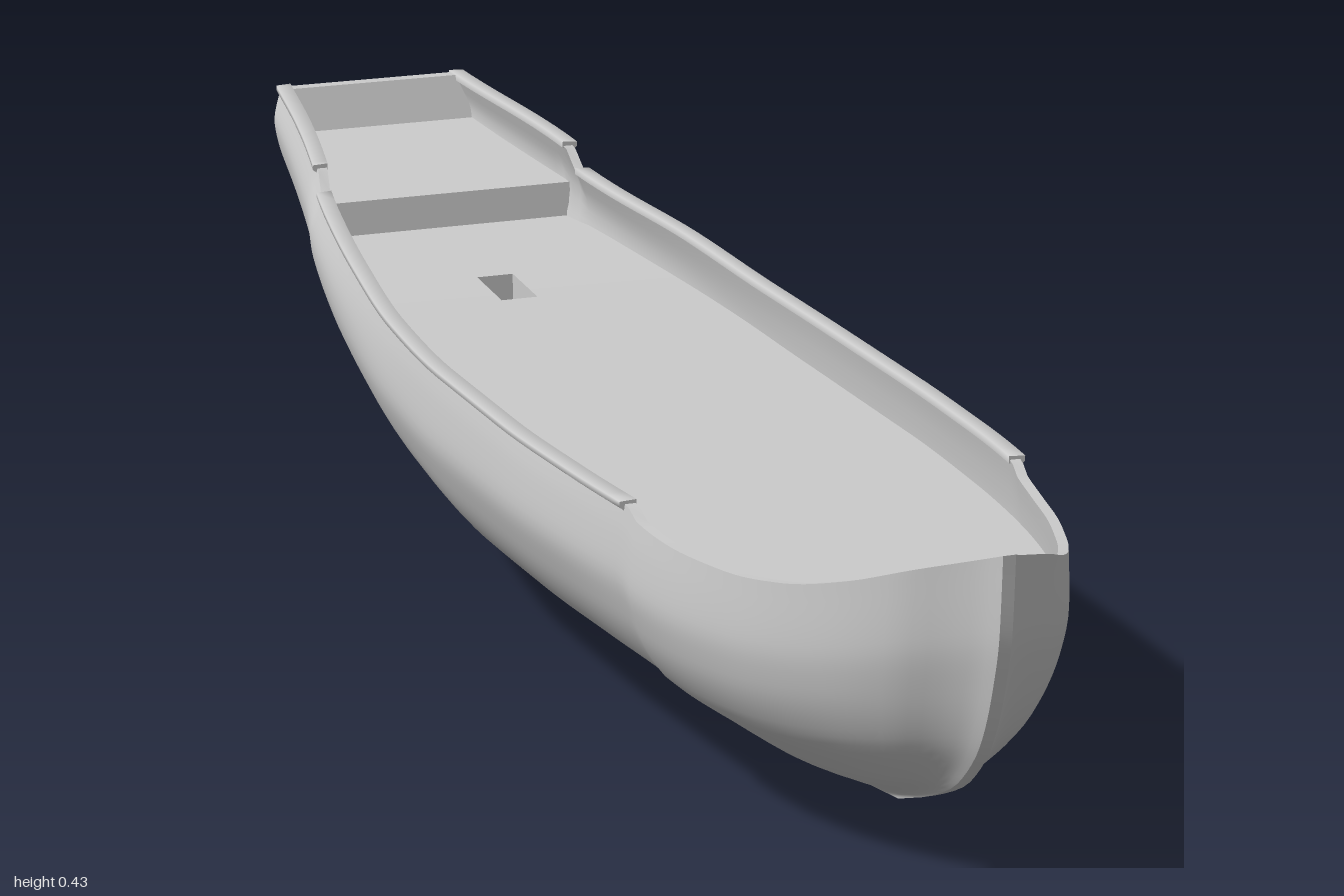
import * as THREE from 'three';

const material = new THREE.MeshStandardMaterial({ color: 0xcccccc, side: THREE.DoubleSide });
const clamp = THREE.MathUtils.clamp;
const smooth = THREE.MathUtils.smoothstep;
const lerp = THREE.MathUtils.lerp;

// Monotone curve through [position, value] pairs, positions ascending
function curve(pts) {
  const n = pts.length;
  const d = pts.slice(1).map((p, i) => (p[1] - pts[i][1]) / (p[0] - pts[i][0]));
  const m = pts.map((_, i) => {
    if (i === 0) return d[0];
    if (i === n - 1) return d[n - 2];
    return d[i - 1] * d[i] <= 0 ? 0 : (2 * d[i - 1] * d[i]) / (d[i - 1] + d[i]);
  });
  return (x) => {
    let i = 0;
    while (i < n - 2 && x > pts[i + 1][0]) i++;
    const h = pts[i + 1][0] - pts[i][0];
    const t = clamp((x - pts[i][0]) / h, 0, 1), t2 = t * t, t3 = t2 * t;
    return (2 * t3 - 3 * t2 + 1) * pts[i][1] + (t3 - 2 * t2 + t) * h * m[i]
      + (3 * t2 - 2 * t3) * pts[i + 1][1] + (t3 - t2) * h * m[i + 1];
  };
}

// Hull lines by station s (-1 stern, 1 bow) and girth v (0 keel, 1 sheer)
const keelY = curve([[-1, 0.21], [-0.75, 0.135], [-0.5, 0.07], [-0.25, 0.018], [0, 0], [0.25, 0.006],
  [0.5, 0.016], [0.7, 0.026], [0.85, 0.037], [1, 0.05]]);
const sheerY = curve([[-1, 0.431], [-0.7, 0.4], [-0.672, 0.373], [-0.4, 0.35], [-0.2, 0.334], [0, 0.329],
  [0.2, 0.329], [0.53, 0.332], [0.56, 0.318], [0.65, 0.311], [0.72, 0.311], [0.8, 0.319], [0.87, 0.338], [0.94, 0.367], [1, 0.391]]);
const beam = curve([[-1, 0.135], [-0.9, 0.15], [-0.8, 0.167], [-0.7, 0.185], [-0.6, 0.202], [-0.4, 0.23],
  [-0.2, 0.247], [0, 0.254], [0.2, 0.254], [0.4, 0.246], [0.55, 0.232], [0.65, 0.215], [0.75, 0.184],
  [0.85, 0.135], [0.92, 0.085], [0.957, 0.042], [0.98, 0.02], [1, 0.007]]);
const stemZ = curve([[0, 0.75], [0.09, 0.83], [0.2, 0.9], [0.38, 0.955], [0.56, 0.98], [0.75, 0.995], [1, 1]]);
const midShape = curve([[0, 0], [0.1, 0.19], [0.2, 0.37], [0.3, 0.55], [0.4, 0.77], [0.6, 0.94], [0.76, 1], [0.9, 0.985], [1, 0.96]]);
const sternShape = curve([[0, 0], [0.1, 0.06], [0.2, 0.17], [0.35, 0.5], [0.5, 0.82], [0.65, 0.97], [0.8, 1], [1, 0.89]]);
const bowShape = curve([[0, 0], [0.1, 0.3], [0.2, 0.52], [0.4, 0.84], [0.6, 0.97], [0.76, 1], [1, 0.98]]);
const KEEL = 0.007, WALL = 0.012;

function hullPoint(s, v) {
  let f = lerp(midShape(v), sternShape(v), smooth(-s, 0, 1));
  f = lerp(f, bowShape(v), smooth(s, 0.3, 0.9));
  const rake = 0.08 * (1 - v) * clamp((-s - 0.5) / 0.5, 0, 1);
  const forefoot = (1 - stemZ(v)) * clamp((s - 0.3) / 0.7, 0, 1);
  return [KEEL + (beam(s) - KEEL) * f, lerp(keelY(s), sheerY(s), v), s + rake - forefoot];
}
const girthAt = (s, y) => (y - keelY(s)) / (sheerY(s) - keelY(s));
const inset = ([x, y, z]) => [Math.max(x - WALL, 0.001), y, z];

// Surface through rows of points; faces look along column x row direction
function loft(rows) {
  const pos = rows.flat(2), idx = [], n = rows[0].length;
  for (let i = 0; i < rows.length - 1; i++) {
    for (let j = 0; j < n - 1; j++) {
      const a = i * n + j, b = a + n;
      idx.push(a, a + 1, b, a + 1, b + 1, b);
    }
  }
  const g = new THREE.BufferGeometry();
  g.setAttribute('position', new THREE.Float32BufferAttribute(pos, 3));
  g.setIndex(idx);
  g.computeVertexNormals();
  return g;
}
const range = (a, b, n) => Array.from({ length: n + 1 }, (_, i) => lerp(a, b, i / n));
const mirror = (rows) => rows.map((r) => r.map(([x, y, z]) => [-x, y, z])).reverse();

export function createModel() {
  const model = new THREE.Group();
  const add = (name, rows) => {
    const mesh = new THREE.Mesh(loft(rows), material);
    mesh.name = name;
    model.add(mesh);
  };
  const addPair = (name, rows) => {
    add(name + 'Left', rows);
    add(name + 'Right', mirror(rows));
  };

  // Stations packed more closely towards the bow
  const stations = range(1, 0, 120).map((t) => 1 - 2 * Math.pow(t, 1.25));
  const girths = range(0, 1, 30);

  // Outer planking, with the keel and stem band between the two sides
  addPair('hullSide', stations.map((s) => girths.map((v) => hullPoint(s, v))));
  const spine = [...stations.map((s) => hullPoint(s, 0)), ...girths.slice(1).map((v) => hullPoint(1, v))];
  add('keelAndStem', spine.map(([, y, z]) => [[-KEEL, y, z], [KEEL, y, z]]));

  // Deck levels
  const mainDeck = curve([[-0.72, 0.305], [-0.4, 0.282], [0, 0.265], [0.85, 0.264]]);
  const quarterDeck = (s) => lerp(0.38, 0.347, (s + 1) / 0.28);
  const foreDeck = (s) => lerp(0.302, 0.335, (s - 0.85) / 0.15);
  const deckY = (s) => (s < -0.72 ? quarterDeck(s) : s > 0.85 ? foreDeck(s) : mainDeck(s));

  // Bulwark lining and its top edge
  const inner = stations.filter((s) => s < 0.995);
  addPair('bulwarkLining', inner.map((s) => range(1, girthAt(s, deckY(s) - 0.01), 6).map((v) => inset(hullPoint(s, v)))));
  addPair('bulwarkTop', stations.map((s) => [hullPoint(s, 1), inset(hullPoint(s, 1))]));

  // Rail mouldings on the waist and the quarterdeck
  for (const [name, a, b] of [['waistRail', -0.67, 0.53], ['quarterRail', -1, -0.7]]) {
    const rows = range(a, b, 40).map((s) => {
      const [x, y, z] = hullPoint(s, 1);
      return [[0.001, -0.008], [0.006, -0.004], [0.006, 0.002], [-0.013, 0.003], [-0.013, -0.005]]
        .map(([dx, dy]) => [x + dx, y + dy, z]);
    });
    addPair(name, rows);
    addPair(name + 'AftEnd', [rows[0].slice(0, 3), [rows[0][4], rows[0][4], rows[0][3]]]);
    addPair(name + 'ForeEnd', [rows[40].slice(0, 3), [rows[40][4], rows[40][4], rows[40][3]]]);
  }

  // Decks
  const edge = (s, y) => {
    const [x, , z] = hullPoint(s, girthAt(s, y));
    return [Math.max(x - WALL * 0.5, 0.001), y, z];
  };
  const across = (s, y) => {
    const [x, , z] = edge(s, y);
    return [[x, y, z], [-x, y, z]];
  };
  const deck = (name, a, b, level) => add(name, range(a, b, 24).map((s) => across(s, level(s))));
  const H = 0.023, hatchAft = -0.52, hatchFore = -0.43;
  deck('quarterDeck', -1, -0.72, quarterDeck);
  deck('foreDeck', 0.85, 0.985, foreDeck);
  deck('mainDeckAft', -0.72, hatchAft, mainDeck);
  deck('mainDeckFore', hatchFore, 0.85, mainDeck);
  addPair('mainDeckBesideHatch', range(hatchAft, hatchFore, 4).map((s) => {
    const [x, y, z] = edge(s, mainDeck(s));
    return [[x, y, z], [H, y, z]];
  }));

  // Risers between deck levels
  add('quarterDeckStep', [across(-0.72, 0.347), across(-0.72, mainDeck(-0.72))]);
  add('foreDeckStep', [across(0.85, mainDeck(0.85)), across(0.85, 0.302)]);

  // Sunken hatch with a ramp going down aft
  const [, ya, za] = edge(hatchAft, mainDeck(hatchAft));
  const [, yf, zf] = edge(hatchFore, mainDeck(hatchFore));
  const low = ya - 0.06;
  add('hatchRamp', [[[H, low, za], [-H, low, za]], [[H, yf, zf], [-H, yf, zf]]]);
  add('hatchAftWall', [[[H, ya, za], [-H, ya, za]], [[H, low, za], [-H, low, za]]]);
  addPair('hatchSideWall', [[[H, ya, za], [H, low, za]], [[H, yf, zf], [H, yf, zf]]]);

  // Raked transom: outer face, inner face and top edge
  const spread = ([x, y, z], dz) => [[-x, y, z + dz], [x, y, z + dz]];
  add('transom', girths.map((v) => spread(hullPoint(-1, v), 0)).reverse());
  const inside = range(girthAt(-1, 0.37), 1, 8).map((v) => hullPoint(-1, v));
  add('transomLining', inside.map((p) => spread(p, 0.018)));
  const top = hullPoint(-1, 1);
  add('transomTop', [spread(top, 0.018), spread(top, 0)]);

  return model;
}
